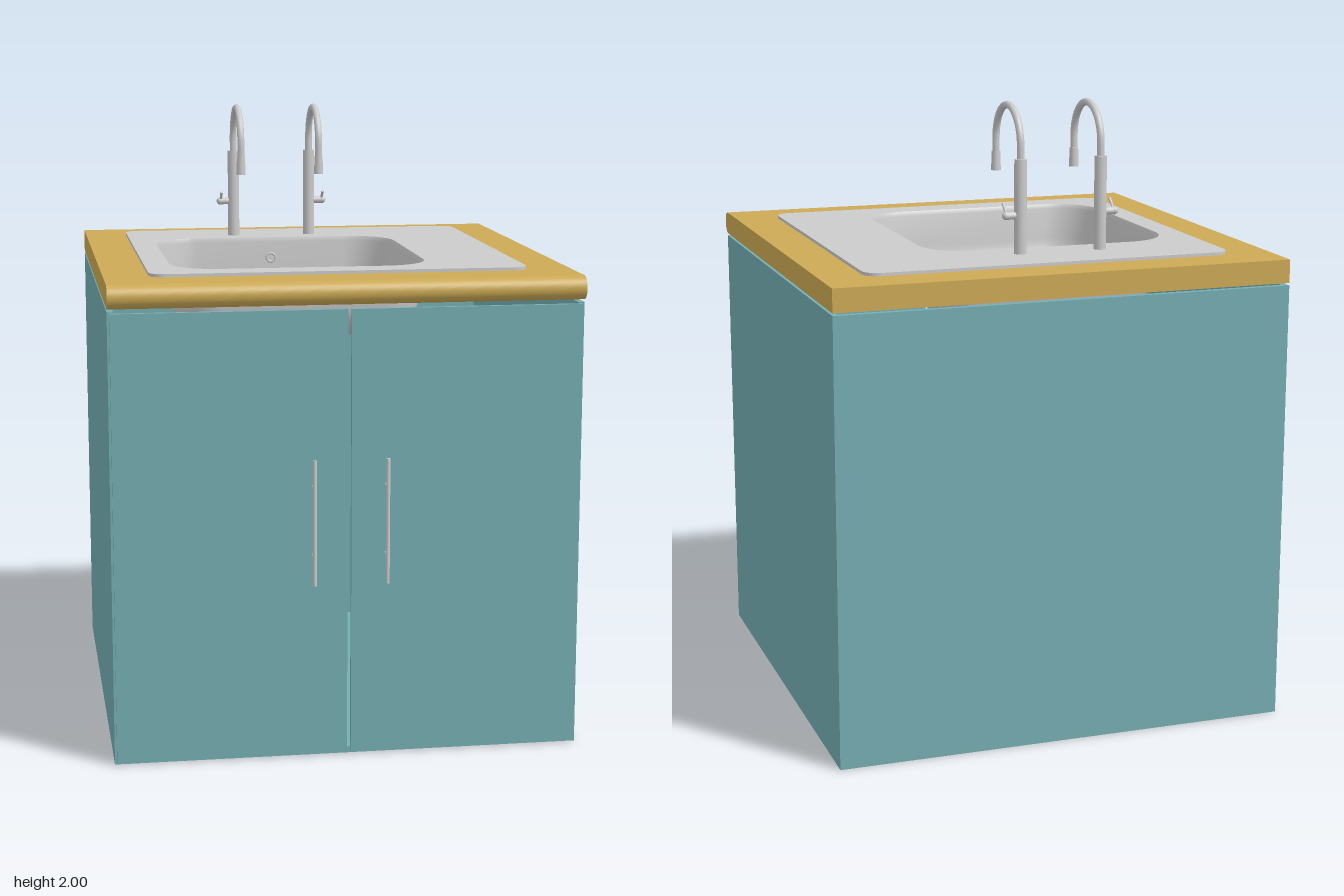
import * as THREE from 'three';

const D = THREE.DoubleSide;
const steel = new THREE.MeshStandardMaterial({ color: 0xcccccc, side: D });
const teal = new THREE.MeshStandardMaterial({ color: 0x75aeb2 });
const wood = new THREE.MeshStandardMaterial({ color: 0xccaa55 });

function add(parent, name, geometry, material, x = 0, y = 0, z = 0) {
  const mesh = new THREE.Mesh(geometry, material);
  mesh.name = name;
  mesh.position.set(x, y, z);
  parent.add(mesh);
  return mesh;
}

// box given by its limits on each axis
function panel(parent, name, material, x0, x1, y0, y1, z0, z1) {
  return add(parent, name, new THREE.BoxGeometry(x1 - x0, y1 - y0, z1 - z0), material,
    (x0 + x1) / 2, (y0 + y1) / 2, (z0 + z1) / 2);
}

// rounded rectangle in plan, as points (x, z)
function roundedRect(x0, x1, z0, z1, r, n = 8) {
  const centres = [[x1 - r, z1 - r], [x0 + r, z1 - r], [x0 + r, z0 + r], [x1 - r, z0 + r]];
  return centres.flatMap(([cx, cz], k) => Array.from({ length: n + 1 }, (_, i) => {
    const a = (k + i / n) * Math.PI / 2;
    return new THREE.Vector2(cx + r * Math.cos(a), cz + r * Math.sin(a));
  }));
}

// horizontal plate with a hole, its top face at y = 0
function plate(outline, hole, depth) {
  const shape = new THREE.Shape(outline);
  shape.holes.push(new THREE.Path(hole));
  return new THREE.ExtrudeGeometry(shape, { depth, bevelEnabled: false }).rotateX(Math.PI / 2);
}

// skin over closed rings of equal point count
function loft(rings) {
  const n = rings[0].length, index = [];
  for (let i = 0; i < rings.length - 1; i++) {
    for (let j = 0; j < n; j++) {
      const a = i * n + j, b = i * n + (j + 1) % n;
      index.push(a, a + n, b, b, a + n, b + n);
    }
  }
  const g = new THREE.BufferGeometry().setFromPoints(rings.flat());
  g.setIndex(index);
  g.computeVertexNormals();
  return g;
}

const RIM = 1.53, FLOOR = 1.29, DRAIN_X = -0.105, DRAIN_Z = -0.135;

function bowlRing(y, f) {
  return roundedRect(-0.52 + 0.11 * f, 0.31 - 0.11 * f, -0.365 + 0.07 * f, 0.467 - 0.14 * f, 0.15 - 0.06 * f)
    .map(p => new THREE.Vector3(p.x, y, p.y));
}

function buildBowl() {
  const rings = [bowlRing(RIM, 0), bowlRing(RIM - 0.015, 0.06)];
  const steps = 8, bend = 0.12;
  for (let i = 0; i <= steps; i++) {
    const a = i / steps * Math.PI / 2;
    rings.push(bowlRing(FLOOR + bend * (1 - Math.sin(a)), 0.15 + 0.85 * (1 - Math.cos(a))));
  }
  // flat floor closing in on the drain
  const edge = rings[rings.length - 1];
  rings.push(edge.map(p => {
    const a = Math.atan2(p.z - DRAIN_Z, p.x - DRAIN_X);
    return new THREE.Vector3(DRAIN_X + 0.047 * Math.cos(a), FLOOR, DRAIN_Z + 0.047 * Math.sin(a));
  }));
  return loft(rings);
}

// swan-neck tap; side = +1 or -1 is where the lever sits
function buildTap(side) {
  const tap = new THREE.Group();
  tap.name = 'tap';
  add(tap, 'tapBody', new THREE.CylinderGeometry(0.02, 0.02, 0.3, 24), steel, 0, 0.15, 0);
  const path = new THREE.CurvePath();
  const v = (y, z) => new THREE.Vector3(0, y, z);
  const arc = Array.from({ length: 17 }, (_, i) => {
    const a = Math.PI * (1 - i / 16);
    return v(0.338 + 0.12 * Math.sin(a), 0.12 + 0.12 * Math.cos(a));
  });
  path.add(new THREE.LineCurve3(v(0.29, 0), arc[0]));
  path.add(new THREE.CatmullRomCurve3(arc));
  path.add(new THREE.LineCurve3(arc[16], v(0.28, 0.24)));
  add(tap, 'spout', new THREE.TubeGeometry(path, 64, 0.012, 12), steel);
  add(tap, 'nozzle', new THREE.CylinderGeometry(0.014, 0.016, 0.062, 20), steel, 0, 0.266, 0.24);
  add(tap, 'leverStub', new THREE.CylinderGeometry(0.012, 0.012, 0.034, 16), steel, side * 0.034, 0.122, 0)
    .rotation.z = Math.PI / 2;
  add(tap, 'leverKnob', new THREE.SphereGeometry(0.013, 16, 12), steel, side * 0.048, 0.122, 0);
  add(tap, 'lever', new THREE.CylinderGeometry(0.005, 0.004, 0.05, 10), steel, side * 0.046, 0.14, 0.016)
    .rotation.x = 0.85;
  return tap;
}

export function createModel() {
  const model = new THREE.Group();
  model.name = 'sinkCabinet';

  // open-topped carcass
  const cabinet = new THREE.Group();
  cabinet.name = 'cabinet';
  model.add(cabinet);
  const W = 0.743, T = 0.02, H = 1.437, BACK = -0.775, FRONT = 0.715;
  panel(cabinet, 'cabinetFloor', teal, -W, W, 0, T, BACK, FRONT);
  panel(cabinet, 'backPanel', teal, -W + T, W - T, T, H, BACK, BACK + T);

  for (const s of [-1, 1]) {
    const sideX = [s * W, s * (W - T)].sort((a, b) => a - b);
    panel(cabinet, 'sidePanel', teal, ...sideX, T, H, BACK, FRONT);
    // doors with bar handles
    const doorX = [s * 0.006, s * 0.736].sort((a, b) => a - b);
    panel(cabinet, 'door', teal, ...doorX, 0.01, H - 0.004, FRONT, 0.73);
    const handle = new THREE.Group();
    handle.name = 'doorHandle';
    handle.position.set(s * 0.115, 0.77, 0);
    cabinet.add(handle);
    add(handle, 'handleBar', new THREE.CylinderGeometry(0.006, 0.006, 0.4, 14), steel, 0, 0, 0.769);
    for (const y of [-0.11, 0.11]) {
      add(handle, 'handlePost', new THREE.CylinderGeometry(0.0045, 0.0045, 0.04, 10), steel, 0, y, 0.749)
        .rotation.x = Math.PI / 2;
    }
  }

  // worktop with a cut-out and a rounded front edge
  const TOP = 1.52, THICK = 0.075, NOSE = 0.708;
  const rect = (x0, x1, z0, z1) => [[x0, z0], [x1, z0], [x1, z1], [x0, z1]].map(p => new THREE.Vector2(...p));
  add(model, 'worktop', plate(rect(-W, W, BACK, NOSE), rect(-0.57, 0.57, -0.605, 0.535), THICK), wood, 0, TOP, 0);
  add(model, 'worktopNose', new THREE.CylinderGeometry(THICK / 2, THICK / 2, 2 * W, 24, 1, false, 0, Math.PI)
    .rotateY(-Math.PI / 2).rotateZ(Math.PI / 2).rotateX(0), wood, 0, TOP - THICK / 2, NOSE)
    .geometry = noseGeometry(THICK / 2, 2 * W);

  // sink: deck, bowl, drain and overflow
  const sink = new THREE.Group();
  sink.name = 'sink';
  model.add(sink);
  const opening = roundedRect(-0.52, 0.31, -0.365, 0.467, 0.15);
  add(sink, 'sinkDeck', plate(roundedRect(-0.602, 0.602, -0.635, 0.567, 0.05), opening, 0.01), steel, 0, RIM, 0);
  add(sink, 'bowl', buildBowl(), steel);
  const drain = [[0.047, 0], [0.043, -0.006], [0.028, -0.03], [0.026, -0.07]].map(p => new THREE.Vector2(...p));
  add(sink, 'drain', new THREE.LatheGeometry(drain, 28), steel, DRAIN_X, FLOOR, DRAIN_Z);
  add(sink, 'overflowRing', new THREE.TorusGeometry(0.015, 0.004, 8, 20), steel, DRAIN_X, 1.46, -0.352);

  // pair of taps, levers outward
  for (const side of [-1, 1]) {
    const tap = buildTap(side);
    tap.position.set(-0.09 + side * 0.135, RIM, -0.455);
    model.add(tap);
  }
  return model;
}

// half-round bar along x, bulging towards +z
function noseGeometry(r, length) {
  const shape = new THREE.Shape();
  shape.absarc(0, 0, r, -Math.PI / 2, Math.PI / 2, false);
  return new THREE.ExtrudeGeometry(shape, { depth: length, bevelEnabled: false, curveSegments: 20 })
    .translate(0, 0, -length / 2).rotateY(-Math.PI / 2);
}
